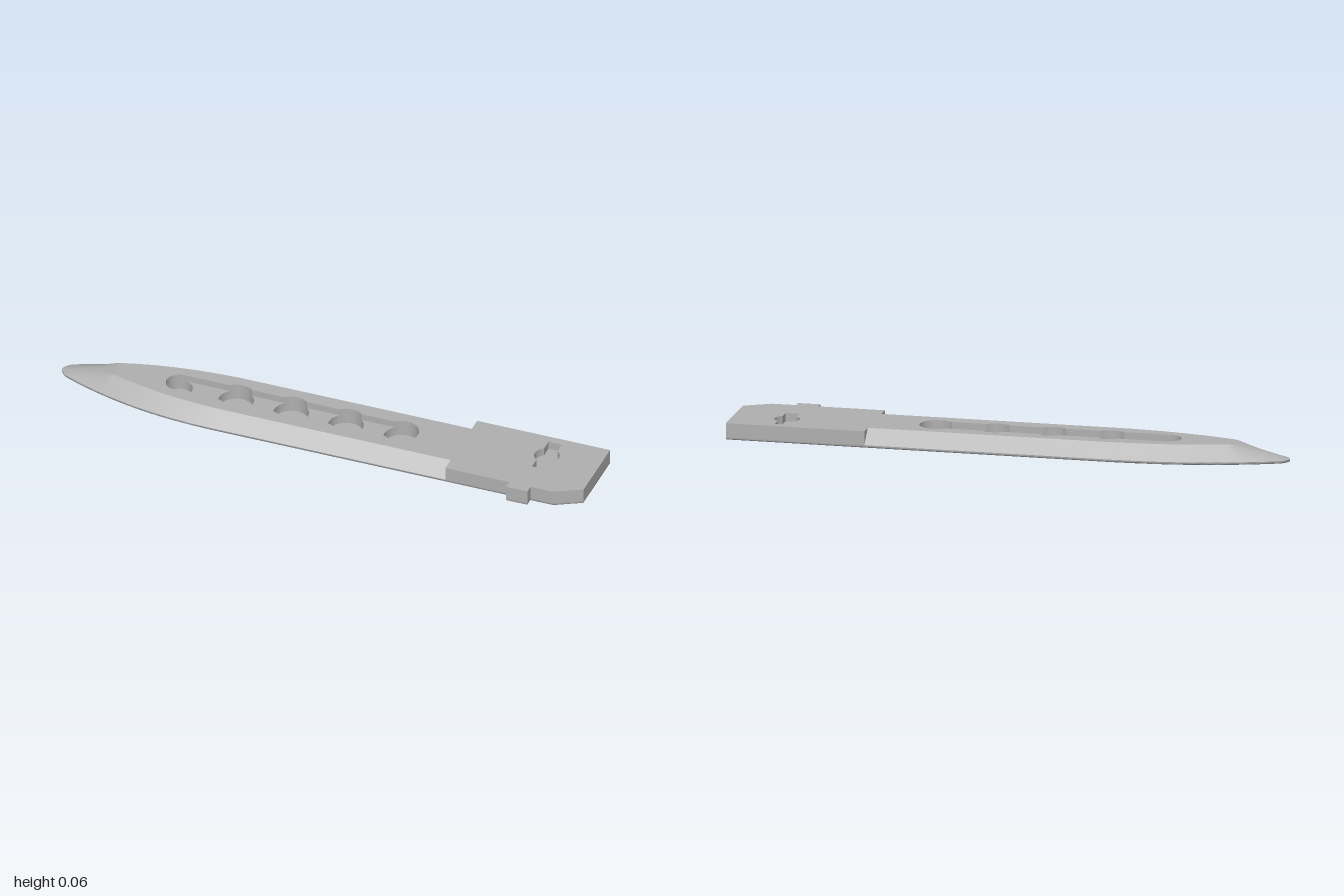
import * as THREE from 'three';
import { toCreasedNormals } from 'three/addons/utils/BufferGeometryUtils.js';

const CZ = -0.0155;                 // centre line of the blade
const TOP = 0.06, EDGE = 0.01, FLOOR = 0.035;
const NOSE = -0.79, STEP = 0.5;     // start of the flat top, end of the bevels

// half width of the blade at its cutting edge, and of its flat top
function halfWidth(x) {
  const d = Math.max(0, -0.35 - x);
  const w = 0.155 - 0.057 * Math.pow(d / 0.45, 2.26);
  return x < -0.97 ? w * Math.sqrt(Math.max(0, 1 - ((-0.97 - x) / 0.03) ** 2)) : w;
}
const flatHalf = (x) => halfWidth(x) - 0.0525 - 0.01 * Math.max(0, -0.35 - x) / 0.45;

const lift = (pts, y) => pts.map(([x, z]) => [x, y, z]);
const closed = (pts) => [...pts, pts[0]];

// band of quads between two rows of 3D points
function strip(A, B, out = []) {
  const same = (p, q) => p.every((v, i) => Math.abs(v - q[i]) < 1e-7);
  const tri = (p, q, r) => {
    if (!same(p, q) && !same(q, r) && !same(p, r)) out.push(...p, ...q, ...r);
  };
  for (let i = 0; i < A.length - 1; i++) {
    tri(A[i], A[i + 1], B[i + 1]);
    tri(A[i], B[i + 1], B[i]);
  }
  return out;
}

// flat face from plan outlines, facing up or down
function cap(outline, holes, y, up = true) {
  const s = up ? -1 : 1;
  const vec = (pts) => pts.map(([x, z]) => new THREE.Vector2(x, s * z));
  const shape = new THREE.Shape(vec(outline));
  shape.holes = holes.map((h) => new THREE.Path(vec(h)));
  return new THREE.ShapeGeometry(shape).rotateX(s * Math.PI / 2).translate(0, y, 0);
}

function arc(cx, cz, r, from, to, n) {
  return Array.from({ length: n + 1 }, (_, i) => {
    const a = from + (to - from) * i / n;
    return [cx + r * Math.cos(a), cz - r * Math.sin(a)];
  });
}

// shrink a closed plan outline by d
function inset(pts, d) {
  const n = pts.length;
  const normal = (p, q) => {
    const l = Math.hypot(q[0] - p[0], q[1] - p[1]);
    return [-(q[1] - p[1]) / l, (q[0] - p[0]) / l];
  };
  return pts.map((p, i) => {
    const a = normal(pts[(i + n - 1) % n], p), b = normal(p, pts[(i + 1) % n]);
    const k = d / Math.max(0.4, 1 + a[0] * b[0] + a[1] * b[1]);
    return [p[0] - (a[0] + b[0]) * k, p[1] - (a[1] + b[1]) * k];
  });
}

export function createModel() {
  const group = new THREE.Group();
  const grey = new THREE.MeshStandardMaterial({ color: 0xb0b0b0, side: THREE.DoubleSide });
  grey.name = 'grey';

  const add = (name, geo) => {
    const mesh = new THREE.Mesh(geo, grey);
    mesh.name = name;
    group.add(mesh);
  };
  const addFaces = (name, positions, crease = 0.5) => {
    const g = new THREE.BufferGeometry();
    g.setAttribute('position', new THREE.Float32BufferAttribute(positions, 3));
    g.computeVertexNormals();
    add(name, toCreasedNormals(g, crease));
  };

  // stations along the blade
  const tipX = [-1, -0.9985, -0.994, -0.988, -0.98, -0.97];
  for (let i = 1; i <= 12; i++) tipX.push(-0.97 + (NOSE + 0.97) * i / 12);
  const bladeX = [];
  for (let i = 0; i <= 16; i++) bladeX.push(NOSE + (-0.35 - NOSE) * i / 16);
  bladeX.push(STEP);
  const side = (xs, half, s) => xs.map((x) => [x, CZ + s * half(x)]);

  // plan outlines
  const W = halfWidth(STEP), zF = CZ + W, zB = CZ - W;
  const tang = [[STEP, zF], [0.74, zF], [0.74, 0.17], [0.82, 0.17], [0.82, zF],
    [0.905, zF], [1, 0.088], [1, zB], [STEP, zB]];
  const edgeX = [...tipX, ...bladeX.slice(1, -1)];
  const outline = [...side(edgeX, halfWidth, 1), ...tang,
    ...side(edgeX.slice(1), halfWidth, -1).reverse()];
  const topOutline = [...side(bladeX, flatHalf, 1), ...tang,
    ...side(bladeX, flatHalf, -1).reverse()];

  // row of round holes joined by a shallow channel
  const g = 0.0475;
  const holes = [-0.56, -0.347, -0.14, 0.066, 0.274].map((x, i) => {
    const r = i ? 0.063 : g;
    return { x, r, a: Math.asin(Math.min(1, g / r)) };
  });
  const circles = holes.map((h) => arc(h.x, CZ, h.r, Math.PI, -Math.PI, 40).slice(0, -1));
  const upper = holes.flatMap((h, i) => arc(h.x, CZ, h.r,
    i ? Math.PI - h.a : Math.PI, i < 4 ? h.a : 0, 14));
  const lower = upper.slice(1, -1).reverse().map(([x, z]) => [x, 2 * CZ - z]);
  const channel = [...upper, ...lower];

  // keyed pocket in the tang
  const kx = 0.805, kz = -0.06, kr = 0.045, kb = 0.025, q = Math.PI / 2;
  const b = Math.asin(kb / kr);
  const key = [[kx - kb, kz - 0.08], [kx + kb, kz - 0.08],
    ...arc(kx, kz, kr, q - b, b - q, 12),
    [kx + kb, kz + 0.08], [kx - kb, kz + 0.08],
    ...arc(kx, kz, kr, -q - b, b - 3 * q, 12)];

  add('topFace', cap(topOutline, [channel, key], TOP));
  add('bottomFace', cap(inset(outline, 0.006), circles, 0, false));

  // softened lower rim
  const rim = [];
  const levels = [[0.006, 0], [0.0018, 0.0018], [0, 0.006], [0, EDGE]]
    .map(([d, y]) => lift(closed(inset(outline, d)), y));
  for (let i = 0; i < 3; i++) strip(levels[i], levels[i + 1], rim);
  addFaces('lowerRim', rim, 0.9);

  addFaces('tangSides', strip(lift(tang, EDGE), lift(tang, TOP)), 0.3);

  // bevels and the small shoulders where they end
  const bevel = [], shoulder = [];
  for (const s of [1, -1]) {
    const outer = lift(side(bladeX, halfWidth, s), EDGE);
    const inner = lift(side(bladeX, flatHalf, s), TOP);
    const low = outer[outer.length - 1], flat = inner[inner.length - 1];
    const corner = [STEP, TOP, low[2]];
    strip(...(s > 0 ? [outer, inner] : [inner, outer]), bevel);
    strip([low, low], s > 0 ? [flat, corner] : [corner, flat], shoulder);
  }
  addFaces('bladeBevels', bevel);
  addFaces('bevelShoulders', shoulder);

  // tip: bevelled section easing into a rounded one as it slopes down
  const f = flatHalf(NOSE) / halfWidth(NOSE);
  const halfU = [1, 1 - (1 - f) / 3, 1 - 2 * (1 - f) / 3, f, f * 2 / 3, f / 3];
  const us = [...halfU, 0, ...halfU.map((u) => -u).reverse()];
  const rows = us.map((u) => tipX.map((x) => {
    const h = (TOP - EDGE) * Math.min(1, (x + 1) / 0.2);
    const k = Math.min(1, (NOSE - x) / 0.1);
    const flat = Math.min(1, (1 - Math.abs(u)) / (1 - f));
    return [x, EDGE + h * (flat * (1 - k) + (1 - u * u) * k), CZ + u * halfWidth(x)];
  }));
  const tip = [];
  for (let i = 0; i < rows.length - 1; i++) strip(rows[i], rows[i + 1], tip);
  addFaces('tip', tip, 0.6);

  // inside walls and floors of the recesses
  addFaces('channelWalls', strip(lift(closed(channel), FLOOR), lift(closed(channel), TOP)));
  const bores = [];
  circles.forEach((c) => strip(lift(closed(c), 0), lift(closed(c), FLOOR), bores));
  addFaces('holeWalls', bores);
  for (let i = 0; i < 4; i++) {
    const l = holes[i], r = holes[i + 1];
    add('channelFloor', cap([...arc(l.x, CZ, l.r, l.a, -l.a, 14),
      ...arc(r.x, CZ, r.r, Math.PI + r.a, Math.PI - r.a, 14)], [], FLOOR));
  }
  addFaces('pocketWalls', strip(lift(closed(key), 0.03), lift(closed(key), TOP)));
  add('pocketFloor', cap(key, [], 0.03));

  return group;
}
